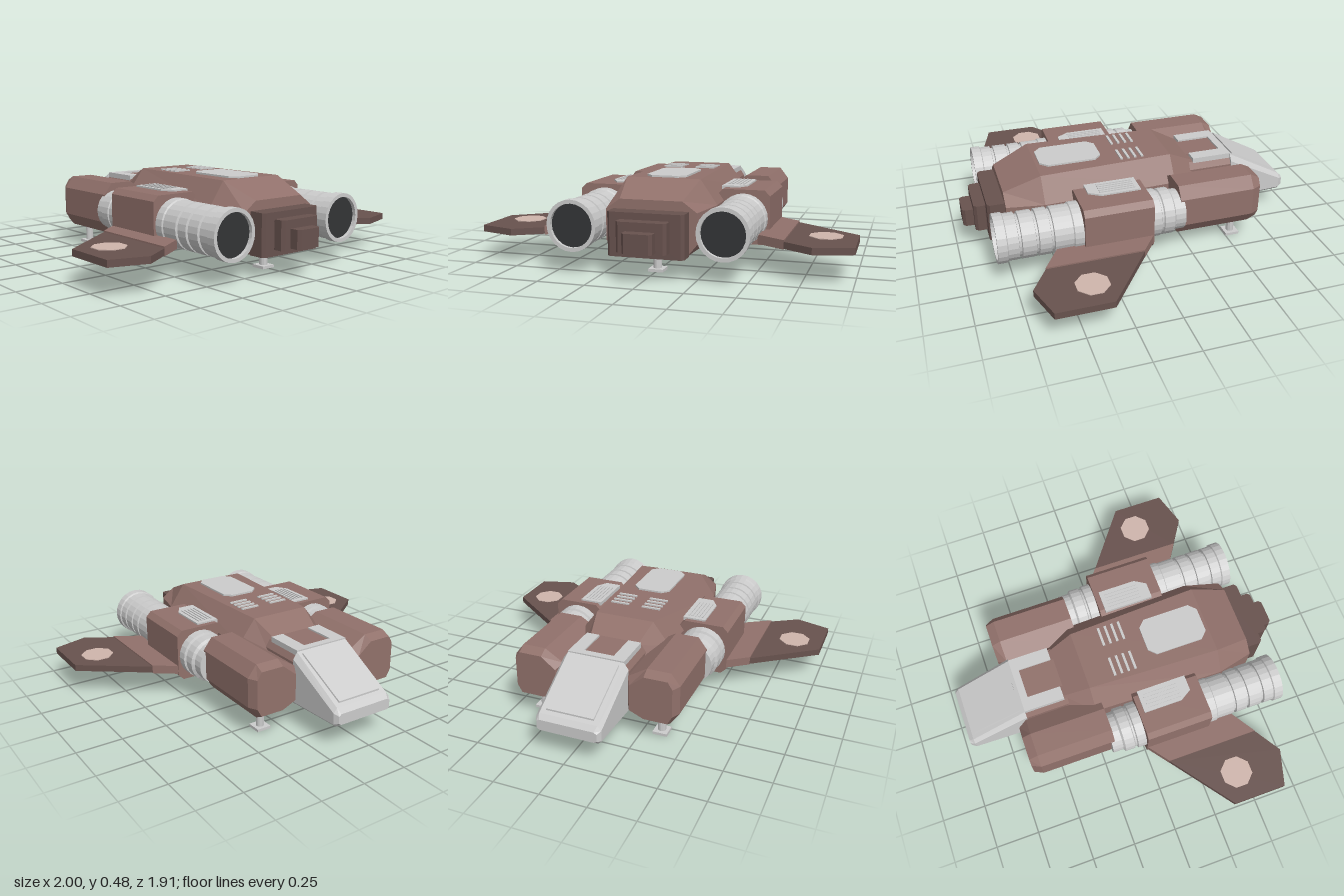
import * as THREE from 'three';

const paint = (color) => new THREE.MeshStandardMaterial({ color, flatShading: true, side: THREE.DoubleSide });
const GREY = paint(0xcccccc), BROWN = paint(0x91716b), DARK = paint(0x68524e);
const PALE = paint(0xcfb5ac), BLACK = paint(0x333436);

// Skin stretched over cross-sections [z, [[x, y], ...]], listed anticlockwise from +z, z rising
function loft(sections, side = 1) {
  const rings = sections.map(([z, pts]) => {
    const r = pts.map(([x, y]) => [x * side, y, z]);
    return side < 0 ? r.reverse() : r;
  });
  const pos = [], n = rings[0].length;
  const tri = (a, b, c) => pos.push(...a, ...b, ...c);
  for (let i = 0; i < rings.length - 1; i++) {
    for (let k = 0; k < n; k++) {
      const a = rings[i][k], b = rings[i][(k + 1) % n];
      const c = rings[i + 1][(k + 1) % n], d = rings[i + 1][k];
      tri(a, b, c);
      tri(a, c, d);
    }
  }
  const first = rings[0], last = rings[rings.length - 1];
  for (let k = 1; k < n - 1; k++) {
    tri(first[0], first[k + 1], first[k]);
    tri(last[0], last[k], last[k + 1]);
  }
  const g = new THREE.BufferGeometry();
  g.setAttribute('position', new THREE.Float32BufferAttribute(pos, 3));
  g.computeVertexNormals();
  return g;
}

// Flat plate from an [x, z] outline, between heights y0 and y1
function plate(outline, y0, y1, side = 1) {
  const shape = new THREE.Shape(outline.map(([x, z]) => new THREE.Vector2(x * side, -z)));
  const g = new THREE.ExtrudeGeometry(shape, { depth: y1 - y0, bevelEnabled: false });
  return g.rotateX(-Math.PI / 2).translate(0, y0, 0);
}

// Rectangle with cut corners
const cutRect = (x0, x1, y0, y1, c) => [
  [x0 + c, y0], [x1 - c, y0], [x1, y0 + c], [x1, y1 - c],
  [x1 - c, y1], [x0 + c, y1], [x0, y1 - c], [x0, y0 + c]];

// Symmetric eight-sided section
const section = (wb, yb, w, yl, ym, wt, yt) => [
  [-wb, yb], [wb, yb], [w, yl], [w, ym], [wt, yt], [-wt, yt], [-w, ym], [-w, yl]];

// Turned part along z from [radius, z] points
const turned = (pts, x, y) => new THREE.LatheGeometry(
  pts.map(([r, z]) => new THREE.Vector2(r, z)), 24).rotateX(Math.PI / 2).translate(x, y, 0);

const box = (w, h, d, x, y, z) => new THREE.BoxGeometry(w, h, d).translate(x, y, z);

export function createModel() {
  const model = new THREE.Group();
  const add = (name, geometry, material, parent = model) => {
    const mesh = new THREE.Mesh(geometry, material);
    mesh.name = name;
    parent.add(mesh);
    return mesh;
  };

  // Central hull and the neck that carries the cockpit
  add('hull', loft([
    [-0.37, section(0.16, 0.11, 0.18, 0.17, 0.33, 0.14, 0.395)],
    [-0.22, section(0.2, 0.11, 0.27, 0.18, 0.34, 0.17, 0.47)],
    [0.53, section(0.2, 0.11, 0.29, 0.18, 0.34, 0.2, 0.47)],
    [0.735, section(0.19, 0.11, 0.24, 0.17, 0.33, 0.165, 0.385)],
  ]), BROWN);
  add('neck', loft([
    [-0.6, section(0.165, 0.11, 0.18, 0.14, 0.35, 0.155, 0.39)],
    [-0.3, section(0.165, 0.11, 0.18, 0.14, 0.35, 0.155, 0.39)],
  ]), BROWN);

  // Cockpit: wedge nose, raised windscreen, roof frame around a brown strip
  add('nose', loft([
    [-0.955, section(0.15, 0.14, 0.165, 0.15, 0.19, 0.15, 0.2)],
    [-0.93, section(0.165, 0.125, 0.18, 0.14, 0.2, 0.16, 0.225)],
    [-0.6, section(0.165, 0.11, 0.185, 0.13, 0.37, 0.16, 0.405)],
  ]), GREY);
  add('windscreen', loft([
    [-0.91, [[-0.135, 0.22], [0.135, 0.22], [0.13, 0.245], [-0.13, 0.245]]],
    [-0.62, [[-0.145, 0.38], [0.145, 0.38], [0.14, 0.403], [-0.14, 0.403]]],
  ]), GREY);
  add('roofFrame', plate([[-0.16, -0.6], [0.16, -0.6], [0.16, -0.37], [0.085, -0.37],
    [0.085, -0.56], [-0.085, -0.56], [-0.085, -0.37], [-0.16, -0.37]], 0.38, 0.412), GREY);
  add('roofStrip', plate([[-0.085, -0.56], [0.085, -0.56], [0.085, -0.3], [-0.085, -0.3]], 0.38, 0.402), BROWN);

  // Stepped tail blocks
  const steps = [[0.2, 0.11, 0.335, 0.72, 0.83], [0.13, 0.145, 0.3, 0.82, 0.895], [0.078, 0.155, 0.255, 0.88, 0.955]];
  for (const [w, y0, y1, z0, z1] of steps) {
    add('tailBlock', plate(cutRect(-w, w, z0, z1, 0.015), y0, y1), DARK);
  }

  // Hatch and vent slats on the back
  add('topHatch', plate(cutRect(-0.11, 0.11, 0.16, 0.51, 0.04), 0.46, 0.48), GREY);
  for (const s of [-1, 1]) {
    for (let i = 0; i < 4; i++) {
      add('hullSlat', box(0.11, 0.02, 0.014, s * 0.095, 0.468, -0.062 + i * 0.04), GREY);
    }
  }

  const legs = [[0, 0.63], [-0.35, -0.54], [0.35, -0.54]];
  for (const [x, z] of legs) {
    const leg = new THREE.Group();
    leg.name = 'landingLeg';
    model.add(leg);
    add('strut', new THREE.CylinderGeometry(0.022, 0.022, 0.13, 10).translate(x, 0.075, z), GREY, leg);
    add('foot', box(0.08, 0.015, 0.08, x, 0.0075, z), GREY, leg);
  }

  const ex = 0.393, ey = 0.25;
  for (const s of [-1, 1]) {
    const half = new THREE.Group();
    half.name = s > 0 ? 'leftSide' : 'rightSide';
    model.add(half);

    // Forward pod with a chamfered nose
    const pod = (d) => [[0.29, 0.11 + d], [0.42, 0.11 + d], [0.47 - d, 0.18], [0.47 - d, 0.34],
      [0.42, 0.405 - d], [0.29, 0.405 - d], [0.185 + d, 0.34 - d], [0.185 + d, 0.17]];
    add('forwardPod', loft([[-0.66, pod(0.025)], [-0.61, pod(0)], [-0.18, pod(0)]], s), BROWN, half);

    // Ribbed coupling between pod and nacelle
    add('coupling', turned([[0, -0.2], [0.113, -0.2], [0.113, -0.14], [0.128, -0.13], [0.128, -0.075],
      [0.12, -0.07], [0.12, -0.06], [0.132, -0.055], [0.132, 0.02]], s * ex, ey), GREY, half);

    // Nacelle box with a louvred panel
    const shell = cutRect(0.25, 0.535, 0.11, 0.402, 0.03);
    add('nacelle', loft([[-0.005, shell], [0.375, shell]], s), BROWN, half);
    add('louvrePanel', plate([[0.26, 0.025], [0.39, 0.025], [0.39, 0.245], [0.35, 0.31], [0.26, 0.31]],
      0.39, 0.411, s), GREY, half);
    for (let i = 0; i < 5; i++) {
      add('louvre', box(0.008, 0.008, 0.2, s * (0.285 + i * 0.02), 0.412, 0.15), GREY, half);
    }

    // Engine barrel with grooves, open nozzle and dark inside
    const barrel = [[0.132, 0.36], [0.132, 0.425], [0.125, 0.43]];
    for (const z of [0.53, 0.61, 0.7]) {
      barrel.push([0.126, z], [0.114, z + 0.003], [0.114, z + 0.015], [0.126, z + 0.018]);
    }
    barrel.push([0.126, 0.775], [0.134, 0.78], [0.134, 0.83], [0.114, 0.83], [0.114, 0.8]);
    add('engine', turned(barrel, s * ex, ey), GREY, half);
    add('nozzleCore', new THREE.CircleGeometry(0.115, 24).translate(s * ex, ey, 0.81), BLACK, half);

    // Wing: root, darker swept tip and a pale octagonal marker
    add('wingRoot', plate([[0.5, -0.005], [0.535, 0], [0.65, 0.087], [0.65, 0.615], [0.5, 0.52]],
      0.148, 0.196, s), BROWN, half);
    add('wingTip', plate([[0.65, 0.087], [1, 0.35], [1, 0.65], [0.8, 0.71], [0.65, 0.615]],
      0.152, 0.188, s), DARK, half);
    add('wingMarker', plate(cutRect(0.753, 0.921, 0.338, 0.506, 0.05), 0.18, 0.192, s), PALE, half);
  }
  return model;
}
